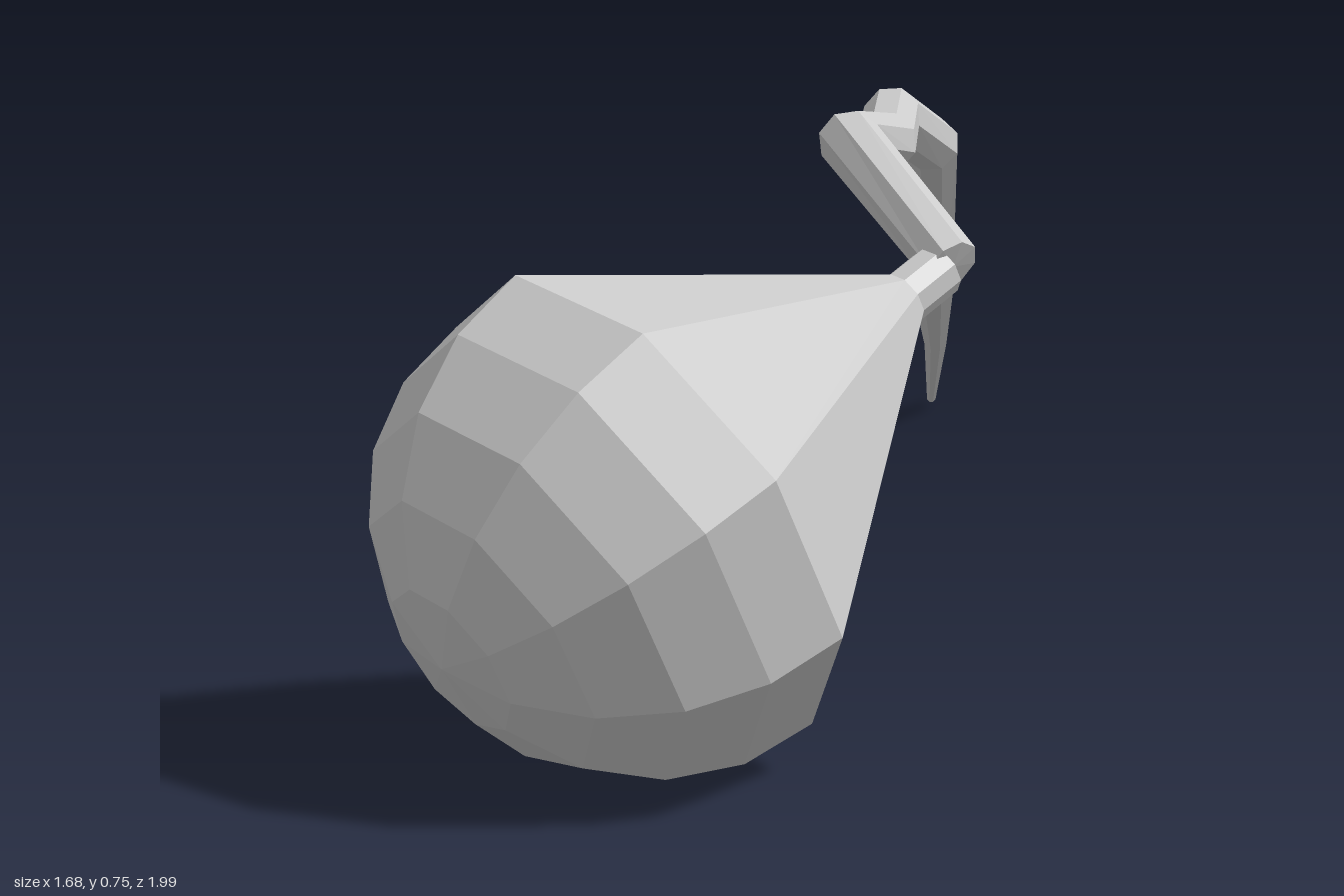
import * as THREE from 'three';

const material = new THREE.MeshStandardMaterial({ color: 0xcccccc, flatShading: true });

// Sweeps a polygon of varying radius along [x, y, z, radius] stations.
function sweep(stations, sides) {
  const pts = stations.map(([x, y, z]) => new THREE.Vector3(x, y, z));
  const last = pts.length - 1;
  const dir = (a, b) => pts[b].clone().sub(pts[a]).normalize();
  const positions = [];
  const index = [];
  const normal = new THREE.Vector3(0, 1, 0);
  pts.forEach((p, i) => {
    const tangent = new THREE.Vector3();
    if (i > 0) tangent.add(dir(i - 1, i));
    if (i < last) tangent.add(dir(i, i + 1));
    tangent.normalize();
    normal.addScaledVector(tangent, -normal.dot(tangent)).normalize();
    const binormal = tangent.clone().cross(normal);
    for (let j = 0; j < sides; j++) {
      const a = (j / sides) * Math.PI * 2;
      const v = p.clone()
        .addScaledVector(normal, Math.cos(a) * stations[i][3])
        .addScaledVector(binormal, Math.sin(a) * stations[i][3]);
      positions.push(v.x, v.y, v.z);
      if (i < last) {
        const k = (j + 1) % sides;
        const r = i * sides;
        const s = r + sides;
        index.push(r + j, r + k, s + k, r + j, s + k, s + j);
      }
    }
  });
  const geometry = new THREE.BufferGeometry();
  geometry.setAttribute('position', new THREE.Float32BufferAttribute(positions, 3));
  geometry.setIndex(index);
  geometry.computeVertexNormals();
  return geometry;
}

export function createModel() {
  const model = new THREE.Group();
  model.name = 'hangingBulb';

  // Bulb: short neck, cone and hemispherical dome around one tilted axis
  const radius = 0.335;
  const profile = [[0, -0.535], [0.036, -0.535], [0.036, -0.465]];
  const rings = 5;
  for (let i = 0; i <= rings; i++) {
    const a = (i / rings) * Math.PI / 2;
    profile.push([i === rings ? 0 : radius * Math.cos(a), radius * Math.sin(a)]);
  }
  const bulb = new THREE.Mesh(
    new THREE.LatheGeometry(
      profile.map(([x, y]) => new THREE.Vector2(x, y)), 9, THREE.MathUtils.degToRad(29)),
    material);
  bulb.name = 'bulb';
  bulb.position.set(0.515, 0.34, 0.66);
  bulb.rotation.x = THREE.MathUtils.degToRad(116.7);
  model.add(bulb);

  // Stalk: bent stem tapering to a point, closed by zero-radius end stations
  const stalk = new THREE.Mesh(sweep([
    [0.532, 0.584, 0.175, 0],
    [0.53, 0.585, 0.175, 0.038],
    [0.31, 0.722, 0.163, 0.042],
    [0.19, 0.69, -0.005, 0.042],
    [0.02, 0.695, -0.16, 0.042],
    [-0.11, 0.622, -0.35, 0.042],
    [-0.53, 0.295, -0.725, 0.034],
    [-0.66, 0.178, -0.845, 0.02],
    [-0.838, 0.028, -0.993, 0.008],
    [-0.84, 0.026, -0.995, 0],
  ], 8), material);
  stalk.name = 'stalk';
  model.add(stalk);

  return model;
}
